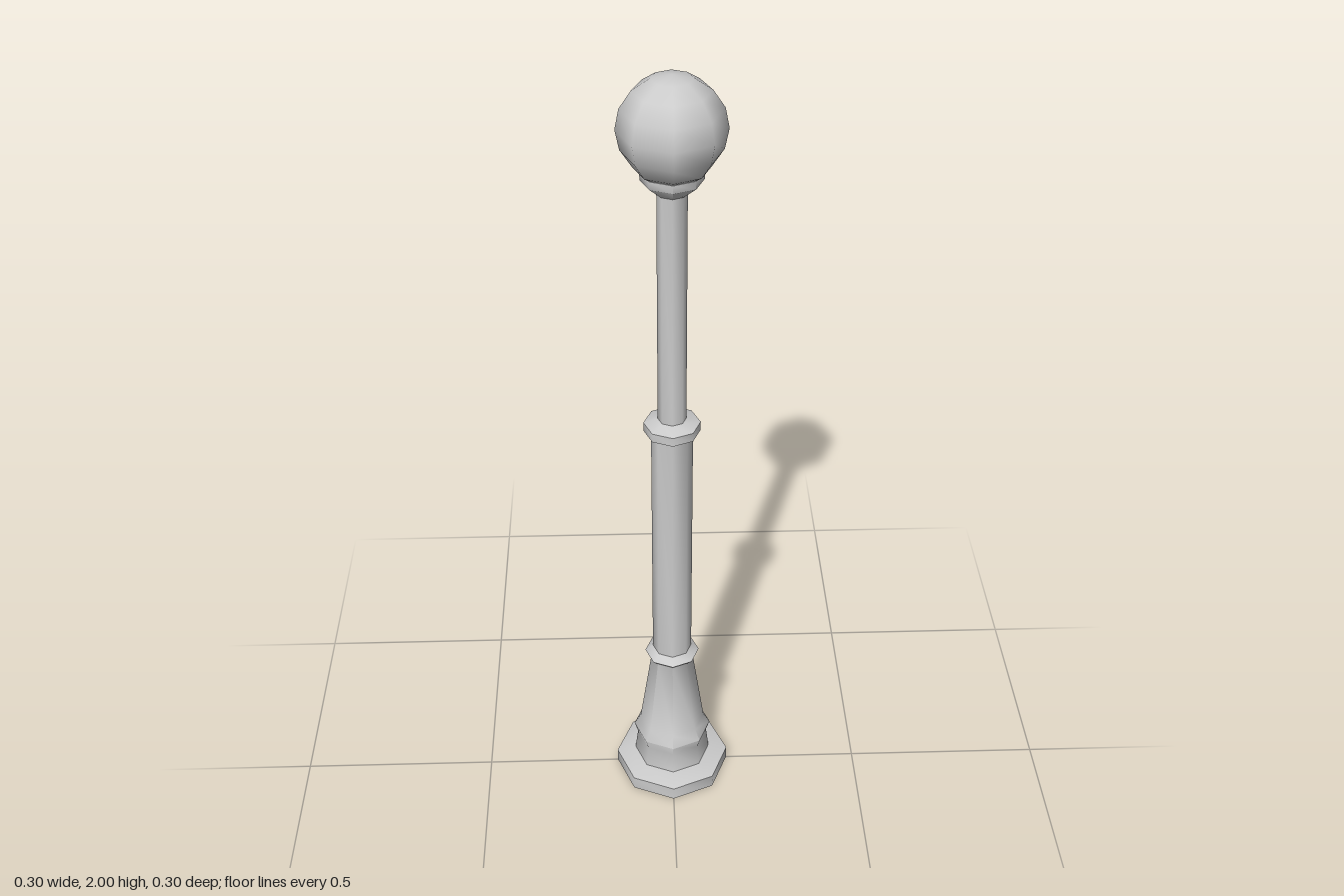
import * as THREE from 'three';
import { toCreasedNormals } from 'three/addons/utils/BufferGeometryUtils.js';

const SIDES = 8;

export function createModel() {
  const group = new THREE.Group();
  group.name = 'streetLamp';
  const material = new THREE.MeshStandardMaterial({ color: 0xcccccc });

  // Eight-sided turned part from [radius, height] pairs, bottom to top
  function turned(name, profile) {
    const points = profile.map(([r, y]) => new THREE.Vector2(r, y));
    const geometry = toCreasedNormals(new THREE.LatheGeometry(points, SIDES), 0.9);
    const mesh = new THREE.Mesh(geometry, material);
    mesh.name = name;
    group.add(mesh);
  }

  // Wide foot with a closed underside
  turned('foot', [[0, 0], [0.15, 0], [0.15, 0.037], [0.105, 0.05], [0, 0.05]]);

  // Flared pedestal with a bulge low down and a ring at its top
  turned('pedestal', [
    [0.1, 0.05], [0.093, 0.11], [0.102, 0.14], [0.085, 0.17],
    [0.054, 0.39], [0.07, 0.408], [0.05, 0.425],
  ]);

  // Thick lower shaft
  turned('lowerShaft', [[0.05, 0.39], [0.05, 1.11]]);

  // Collar between the shafts
  turned('collar', [[0.05, 1.105], [0.068, 1.11], [0.068, 1.133], [0.034, 1.145]]);

  // Slim upper shaft
  turned('upperShaft', [[0.034, 1.13], [0.034, 1.74]]);

  // Cup that holds the globe
  turned('globeHolder', [[0.034, 1.732], [0.07, 1.763], [0.07, 1.782], [0, 1.782]]);

  // Globe
  const globe = new THREE.Mesh(new THREE.SphereGeometry(0.121, SIDES, 8), material);
  globe.name = 'globe';
  globe.position.y = 1.879;
  group.add(globe);

  return group;
}
